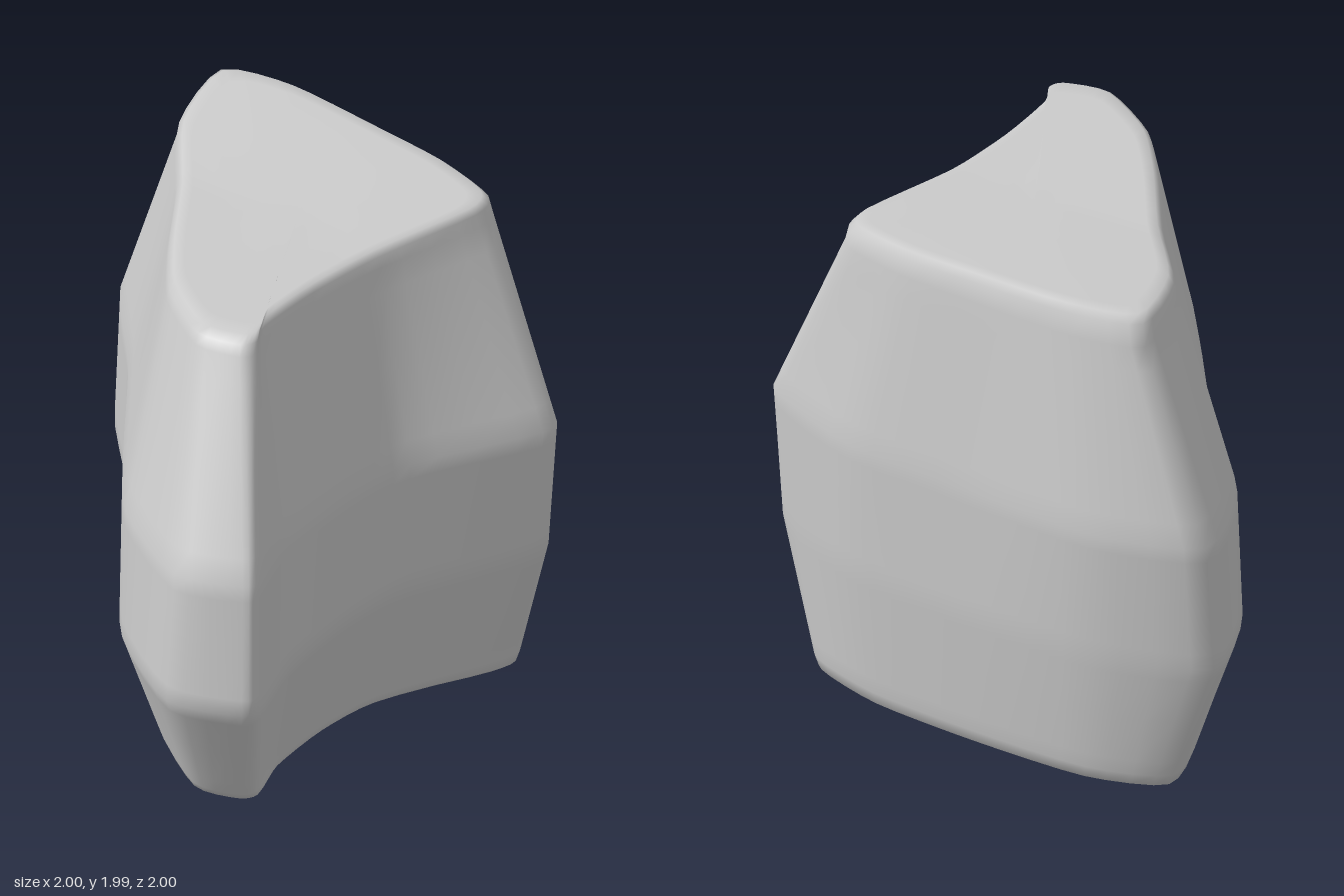
import * as THREE from 'three';

// Plan outlines (x, z pairs) at four heights, running clockwise seen from above
const outlines = [
  { y: 0.07, p: [-.8, -.78, -.5, -.91, 0, -.93, .45, -.91, .76, -.82, .8, -.7, .62, -.2, .6, .1,
    .64, .4, .72, .6, .68, .67, .5, .71, .15, .5, -.1, .2, -.42, -.15, -.72, -.5] },
  { y: 0.6, p: [-1, -.8, -.57, -.97, 0, -.98, .52, -.95, .92, -.79, .96, -.67, .77, -.2, .75, .1,
    .8, .5, .92, .81, .9, .89, .62, .99, .2, .76, -.1, .42, -.47, -.03, -.86, -.41] },
  { y: 1.13, p: [-.99, -.84, -.57, -1, 0, -.985, .52, -.965, .95, -.8, .99, -.69, .77, -.2, .74, .1,
    .77, .48, .89, .78, .87, .85, .62, .95, .2, .74, -.1, .41, -.47, -.04, -.85, -.43] },
  { y: 1.88, p: [-.7, -.81, -.42, -.9, 0, -.9, .36, -.89, .62, -.83, .67, -.7, .58, -.25, .56, .1,
    .58, .4, .63, .5, .6, .56, .42, .6, .14, .44, -.08, .19, -.32, -.13, -.6, -.46] },
];
const SEG = 64, CX = 0.15, CZ = -0.3;

// Smooth closed loop through one outline
function loop({ y, p }) {
  const pts = [];
  for (let i = 0; i < p.length; i += 2) pts.push(new THREE.Vector3(p[i], y, p[i + 1]));
  const curve = new THREE.CatmullRomCurve3(pts, true, 'catmullrom', 0.35);
  return Array.from({ length: SEG }, (_, i) => curve.getPoint(i / SEG));
}

// Shrink a loop towards the core and move it to a new height
const inset = (ring, s, heightAt) => ring.map(v => {
  const x = CX + (v.x - CX) * s, z = CZ + (v.z - CZ) * s;
  return new THREE.Vector3(x, heightAt(x, z), z);
});

const clamp = THREE.MathUtils.clamp;
// Top rises slightly towards the back left; underside dips a little at the back
const topHeight = (x, z) => 1.947 + 0.045 * clamp((-z - 0.2) / 0.6, 0, 1) * clamp(0.75 - x * 0.6, 0, 1);
const baseHeight = (x, z) => 0.02 - 0.02 * clamp((-z - 0.4) / 0.4, 0, 1);

function rockGeometry() {
  const keys = outlines.map(loop), rings = [];
  // Underside, from the middle out to the rounded lower edge
  for (const s of [0.3, 0.6, 0.85, 0.93]) rings.push(inset(keys[0], s, baseHeight));
  rings.push(inset(keys[0], 0.98, (x, z) => baseHeight(x, z) + 0.02));
  // Flanks
  for (let k = 0; k < keys.length; k++) {
    rings.push(keys[k]);
    if (k < keys.length - 1)
      for (const t of [0.12, 0.5, 0.88]) rings.push(keys[k].map((v, i) => v.clone().lerp(keys[k + 1][i], t)));
  }
  // Rounded upper edge and top
  rings.push(inset(keys[3], 0.98, (x, z) => topHeight(x, z) - 0.025));
  for (const s of [0.94, 0.86, 0.6, 0.3]) rings.push(inset(keys[3], s, topHeight));

  const pos = [], idx = [];
  for (const r of rings) for (const v of r) pos.push(v.x, v.y, v.z);
  const n = rings.length, low = n * SEG, high = low + 1;
  pos.push(CX, baseHeight(CX, CZ), CZ, CX, topHeight(CX, CZ), CZ);
  for (let i = 0; i < SEG; i++) {
    const j = (i + 1) % SEG;
    for (let r = 0; r < n - 1; r++) {
      const a = r * SEG + i, b = r * SEG + j;
      idx.push(a, a + SEG, b, b, a + SEG, b + SEG);
    }
    idx.push(low, i, j, high, (n - 1) * SEG + j, (n - 1) * SEG + i);
  }
  const g = new THREE.BufferGeometry();
  g.setAttribute('position', new THREE.Float32BufferAttribute(pos, 3));
  g.setIndex(idx);
  g.computeVertexNormals();
  return g;
}

export function createModel() {
  const group = new THREE.Group();
  group.name = 'boulder';
  const rock = new THREE.Mesh(rockGeometry(), new THREE.MeshStandardMaterial({ color: 0xcccccc }));
  rock.name = 'rock';
  group.add(rock);
  return group;
}
